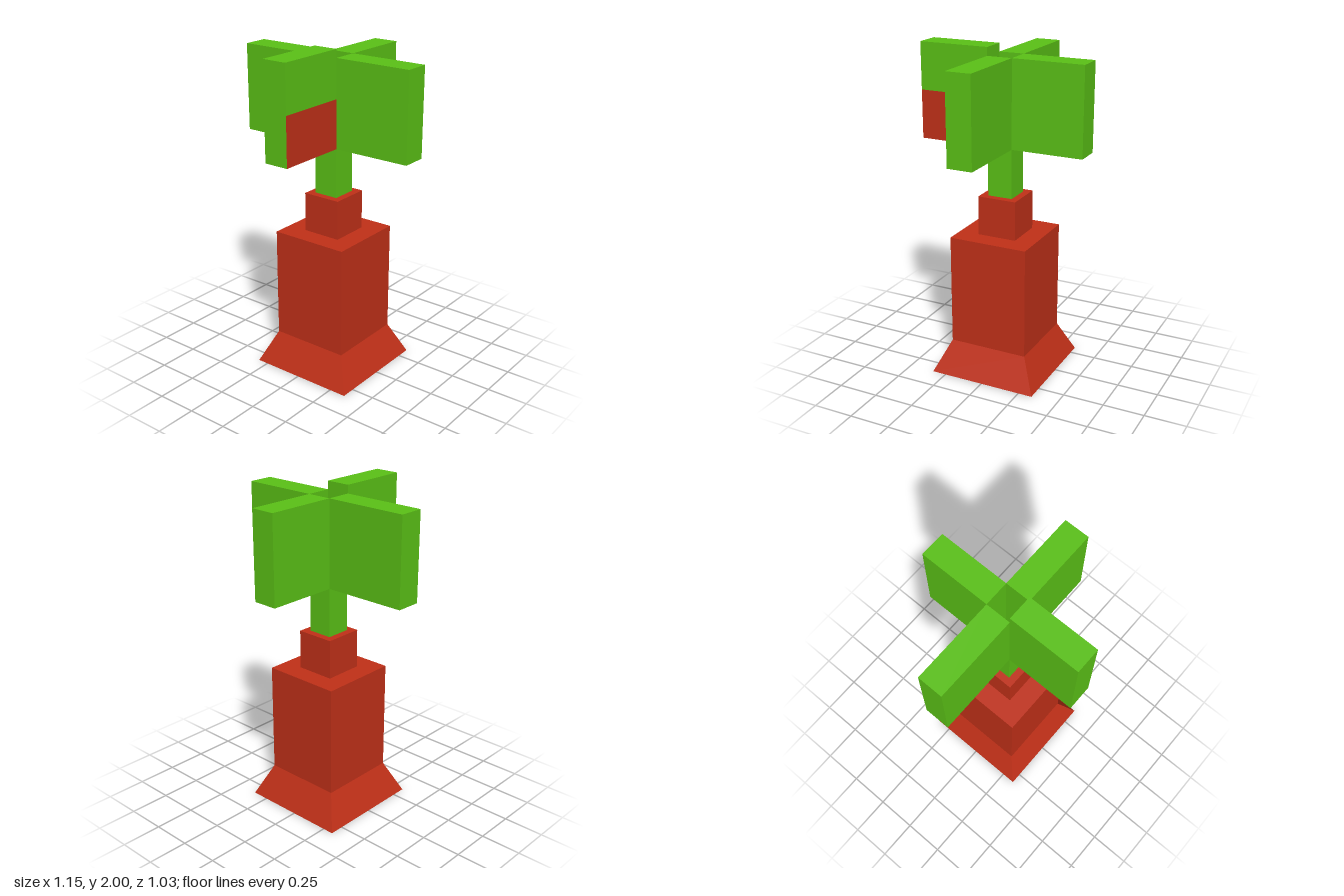
import * as THREE from 'three';

const CX = 0.018; // the shaft sits slightly off the x axis
const S = 0.077; // half width of the stem and blades

export function createModel() {
  const group = new THREE.Group();
  const red = new THREE.MeshStandardMaterial({ color: 0xc03018, flatShading: true });
  const green = new THREE.MeshStandardMaterial({ color: 0x5ac016, flatShading: true });
  const greenOpen = new THREE.MeshStandardMaterial({ color: 0x5ac016, flatShading: true, side: THREE.DoubleSide });

  const add = (name, geometry, material) => {
    const mesh = new THREE.Mesh(geometry, material);
    mesh.name = name;
    group.add(mesh);
    return mesh;
  };
  // box given by its lower and upper limits on each axis
  const box = (name, [x0, x1], [y0, y1], [z0, z1], material) =>
    add(name, new THREE.BoxGeometry(x1 - x0, y1 - y0, z1 - z0)
      .translate((x0 + x1) / 2, (y0 + y1) / 2, (z0 + z1) / 2), material);
  // four-sided tapered block centred on the shaft
  const block = (name, top, bottom, y0, y1, material, open = false) =>
    add(name, new THREE.CylinderGeometry(top * Math.SQRT2, bottom * Math.SQRT2, y1 - y0, 4, 1, open)
      .rotateY(Math.PI / 4).translate(CX, (y0 + y1) / 2, 0), material);

  // pedestal
  block('flaredBase', 0.245, 0.337, 0, 0.2, red);
  block('body', 0.245, 0.245, 0.2, 0.88, red);
  block('neck', 0.121, 0.121, 0.88, 1.12, red);

  // hollow stem, open at the top between the blades
  block('stem', S, S, 1.12, 1.42, greenOpen, true);

  // side and back blades
  const height = [1.42, 1.95];
  box('leftBlade', [CX + S, 0.575], height, [-S, S], green);
  box('rightBlade', [-0.575, CX - S], height, [-S, S], green);
  box('backBlade', [CX - S, CX + S], height, [-0.515, -S], green);

  // taller front blade with one red panel low on its +x face
  const width = [CX - S, CX + S], depth = [S, 0.515];
  box('frontBladeUpper', width, [1.715, 2], depth, green);
  box('frontBladeLower', width, [1.42, 1.715], depth, [red, green, green, green, green, green]);

  return group;
}
